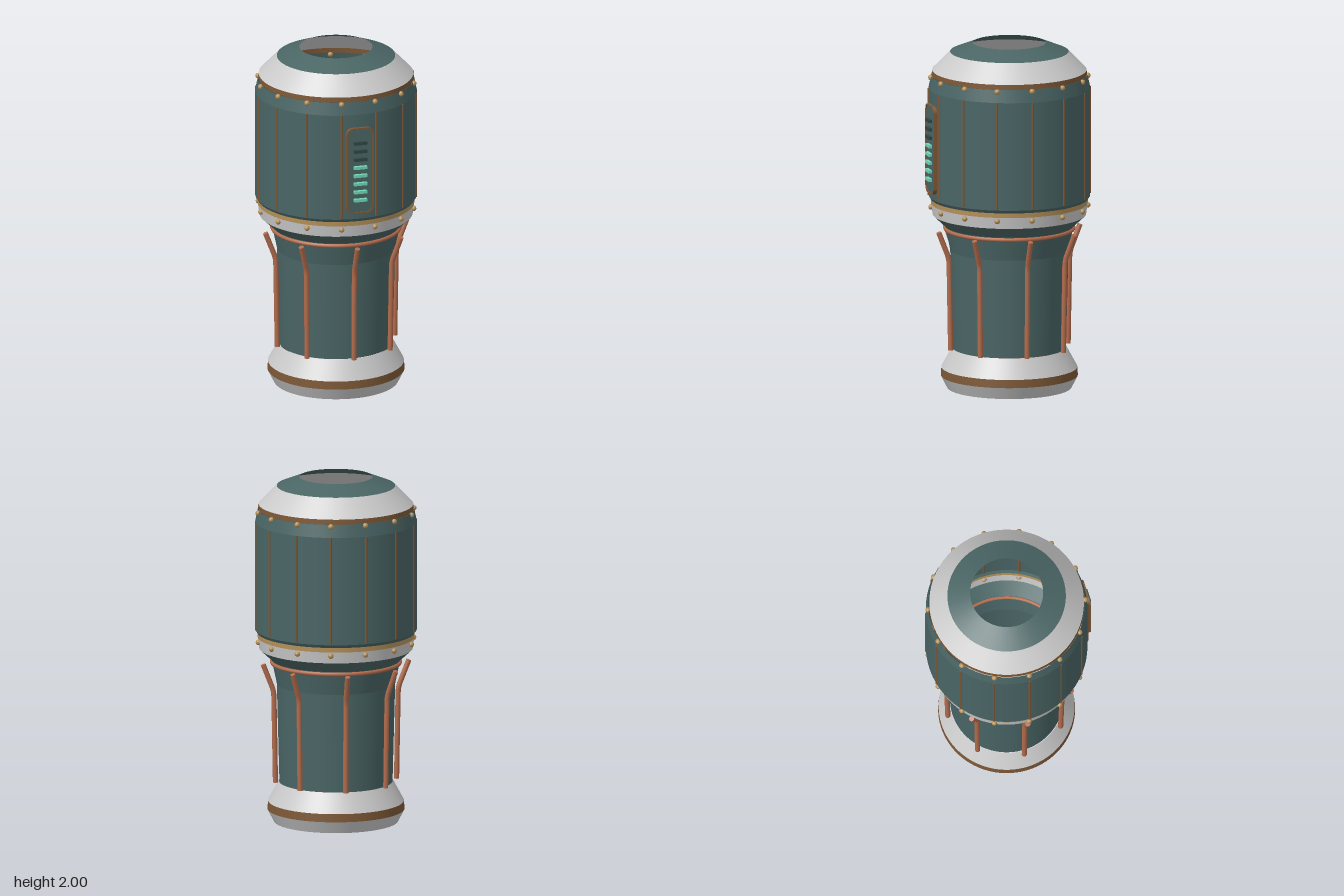
import * as THREE from 'three';

const mat = (name, color, side = THREE.FrontSide) => {
  const m = new THREE.MeshStandardMaterial({ color, side });
  m.name = name;
  return m;
};

export function createModel() {
  const D = THREE.DoubleSide;
  const teal = mat('teal enamel', 0x4a6565, D);
  const silver = mat('pale metal', 0xcacaca, D);
  const brown = mat('bronze', 0x7d5836, D);
  const gold = mat('brass', 0xb8935a, D);
  const copper = mat('copper', 0xb26c4d);
  const mint = mat('mint light', 0x70d8b4);
  const dark = mat('unlit teal', 0x2f4545);

  const model = new THREE.Group();
  model.name = 'canister';
  const body = new THREE.Group();
  body.name = 'body';
  body.position.z = -0.015;
  model.add(body);

  const add = (name, geometry, material, parent = body) => {
    const mesh = new THREE.Mesh(geometry, material);
    mesh.name = name;
    parent.add(mesh);
    return mesh;
  };

  // Open shell: each band is a cone section [name, material, r0, y0, r1, y1]
  const bands = [
    ['footLip', silver, 0.355, 0, 0.39, 0.07],
    ['footBand', brown, 0.39, 0.07, 0.387, 0.117],
    ['footCone', silver, 0.387, 0.117, 0.326, 0.23],
    ['neck', teal, 0.322, 0.23, 0.337, 0.8],
    ['neckFlare', teal, 0.337, 0.8, 0.367, 0.94],
    ['shoulder', teal, 0.367, 0.94, 0.437, 1.005],
    ['lowerCollar', silver, 0.437, 1.005, 0.446, 1.07],
    ['lowerCollarTrim', gold, 0.446, 1.07, 0.448, 1.097],
    ['drumLowerEdge', teal, 0.448, 1.097, 0.46, 1.115],
    ['drum', teal, 0.46, 1.115, 0.46, 1.74],
    ['drumUpperEdge', teal, 0.46, 1.74, 0.445, 1.813],
    ['upperBand', brown, 0.442, 1.813, 0.44, 1.842],
    ['capCone', silver, 0.44, 1.842, 0.337, 1.948],
    ['capTop', teal, 0.337, 1.948, 0.208, 2.0],
  ];
  for (const [name, material, r0, y0, r1, y1] of bands) {
    const points = [new THREE.Vector2(r0, y0), new THREE.Vector2(r1, y1)];
    add(name, new THREE.LatheGeometry(points, 96), material);
  }

  // Copper ring under the shoulder
  const ring = add('neckRing', new THREE.TorusGeometry(0.365, 0.012, 8, 96), copper);
  ring.rotation.x = Math.PI / 2;
  ring.position.y = 0.925;

  // Ribs and rivets share fourteen stations around the drum
  const ribGeo = new THREE.CylinderGeometry(0.007, 0.007, 0.62, 8);
  const rivetGeo = new THREE.SphereGeometry(0.016, 12, 8);
  for (let i = 0; i < 14; i++) {
    const a = (i / 14) * Math.PI * 2;
    const put = (mesh, r, y) => mesh.position.set(r * Math.cos(a), y, r * Math.sin(a));
    put(add('drumRib', ribGeo, brown), 0.459, 1.43);
    put(add('upperRivet', rivetGeo, gold), 0.448, 1.802);
    put(add('lowerRivet', rivetGeo, gold), 0.447, 1.05);
  }

  // Eight bent pipes around the neck
  const pipePath = new THREE.CurvePath();
  const knots = [[0.349, 0.232], [0.358, 0.745], [0.363, 0.775], [0.42, 0.92]]
    .map(([r, y]) => new THREE.Vector3(0, y, r));
  for (let i = 0; i < 3; i++) pipePath.add(new THREE.LineCurve3(knots[i], knots[i + 1]));
  const pipeGeo = new THREE.TubeGeometry(pipePath, 24, 0.015, 10, false);
  for (let i = 0; i < 8; i++) {
    const pipe = new THREE.Group();
    pipe.name = 'neckPipe';
    pipe.rotation.y = (i * Math.PI) / 4;
    body.add(pipe);
    add('pipeTube', pipeGeo, copper, pipe);
    for (const [k, turn] of [[0, Math.PI / 2], [3, -1.2]]) {
      const end = add('pipeEnd', new THREE.CircleGeometry(0.015, 10), copper, pipe);
      end.position.copy(knots[k]);
      end.rotation.x = turn;
    }
  }

  // Gauge panel on the front
  const panel = new THREE.Group();
  panel.name = 'gaugePanel';
  panel.position.set(0, 1.408, 0);
  body.add(panel);
  const rounded = (Type, w, h, r) => {
    const s = new Type();
    const q = Math.PI / 2;
    s.absarc(w - r, h - r, r, 0, q);
    s.absarc(r - w, h - r, r, q, 2 * q);
    s.absarc(r - w, r - h, r, 2 * q, 3 * q);
    s.absarc(w - r, r - h, r, 3 * q, 4 * q);
    s.closePath();
    return s;
  };
  const frameShape = rounded(THREE.Shape, 0.08, 0.257, 0.04);
  frameShape.holes.push(rounded(THREE.Path, 0.071, 0.248, 0.032));
  const extrude = (shape, depth) =>
    new THREE.ExtrudeGeometry(shape, { depth, bevelEnabled: false, curveSegments: 8 });
  add('gaugeFrame', extrude(frameShape, 0.03), brown, panel).position.z = 0.446;
  add('gaugePlate', extrude(rounded(THREE.Shape, 0.072, 0.249, 0.032), 0.024), teal, panel)
    .position.z = 0.446;

  // Gauge bars: three unlit above five lit
  const barGeo = new THREE.BoxGeometry(0.076, 0.017, 0.022);
  for (let i = 0; i < 8; i++) {
    const lit = i < 5;
    const bar = add(lit ? 'litBar' : 'unlitBar', barGeo, lit ? mint : dark, panel);
    bar.position.set(0, -0.175 + i * 0.0488, 0.479);
  }
  return model;
}
